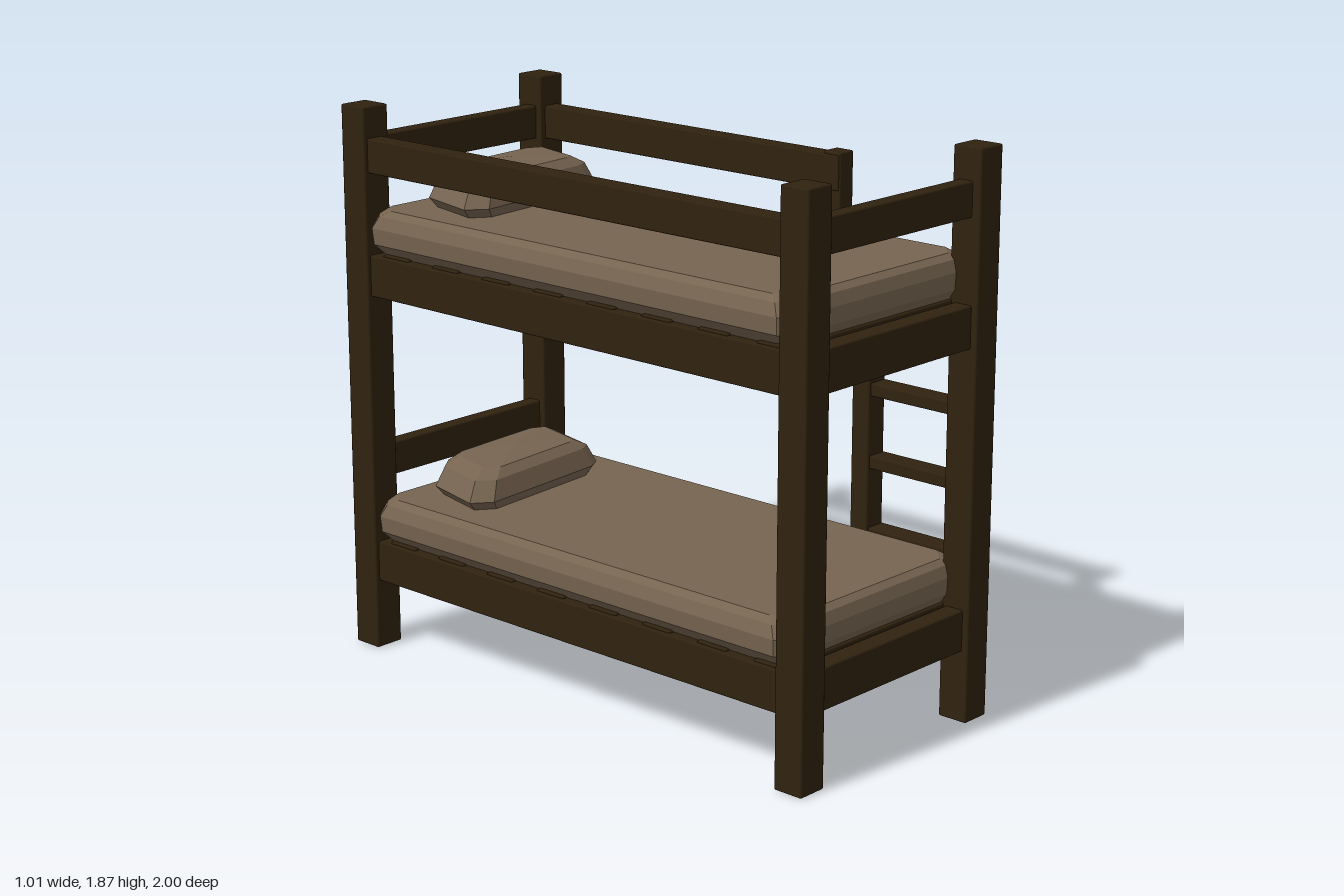
import * as THREE from 'three';
import { RoundedBoxGeometry } from 'three/addons/geometries/RoundedBoxGeometry.js';

// Closed faceted solid from stacked rings of [x, z] points; ring order runs +x towards +z
function loft(rings) {
  const pos = [];
  const tri = (...pts) => pts.forEach((p) => pos.push(...p));
  const n = rings[0].pts.length;
  const at = (r, i) => [r.pts[i % n][0], r.y, r.pts[i % n][1]];
  const middle = (r) => [
    r.pts.reduce((s, p) => s + p[0], 0) / n, r.y + (r.peak || 0),
    r.pts.reduce((s, p) => s + p[1], 0) / n];
  for (let k = 0; k < rings.length - 1; k++) {
    const lo = rings[k], up = rings[k + 1];
    for (let i = 0; i < n; i++) {
      tri(at(lo, i), at(up, i), at(lo, i + 1));
      tri(at(lo, i + 1), at(up, i), at(up, i + 1));
    }
  }
  const first = rings[0], last = rings[rings.length - 1];
  for (let i = 0; i < n; i++) {
    tri(middle(first), at(first, i), at(first, i + 1));
    tri(middle(last), at(last, i + 1), at(last, i));
  }
  const g = new THREE.BufferGeometry();
  g.setAttribute('position', new THREE.Float32BufferAttribute(pos, 3));
  g.computeVertexNormals();
  return g;
}

// Rectangle with cut corners, centred on the bed
function cutRect(cx, hx, hz, c) {
  return [[hx, -hz + c], [hx, hz - c], [hx - c, hz], [-hx + c, hz],
    [-hx, hz - c], [-hx, -hz + c], [-hx + c, -hz], [hx - c, -hz]].map(([x, z]) => [x + cx, z]);
}

export function createModel() {
  const model = new THREE.Group();
  model.name = 'bunkBed';
  const wood = new THREE.MeshStandardMaterial({ color: 0x30220f });
  wood.name = 'darkWood';
  const fabric = new THREE.MeshStandardMaterial({ color: 0x766450 });
  fabric.name = 'beddingFabric';
  const CX = -0.045; // middle of the bed, the ladder sits outside it

  const add = (name, geometry, material) => {
    const m = new THREE.Mesh(geometry, material);
    m.name = name;
    model.add(m);
    return m;
  };
  // Timber with slightly eased edges, given by its extents
  const beam = (name, x0, x1, y0, y1, z0, z1) => {
    const g = new RoundedBoxGeometry(x1 - x0, y1 - y0, z1 - z0, 1, 0.006);
    add(name, g, wood).position.set((x0 + x1) / 2, (y0 + y1) / 2, (z0 + z1) / 2);
  };
  const endRail = (name, y0, y1, side, half = 0.027) =>
    beam(name, -0.41, 0.32, y0, y1, side * 0.942 - half, side * 0.942 + half);

  // Corner posts
  for (const x of [-0.505, 0.308])
    for (const z of [-1, 0.892]) beam('cornerPost', x, x + 0.107, 0, 1.87, z, z + 0.108);

  // Two bunks: frame, slats, mattress and pillow
  const pillowOutline = [[-0.39, -0.545], [-0.335, -0.77], [-0.27, -0.82], [0.23, -0.855],
    [0.3, -0.82], [0.24, -0.57], [0.19, -0.54], [-0.325, -0.495]];
  const pillowRing = (y, s, peak) => ({
    y, peak, pts: pillowOutline.map(([x, z]) => [CX + (x - CX) * s, -0.675 + (z + 0.675) * s]) });

  for (const [level, base] of [['lower', 0.24], ['upper', 1.235]]) {
    for (const x of [-0.49, 0.33])
      beam(level + 'SideRail', x, x + 0.07, base, base + 0.14, -0.9, 0.9);
    for (const side of [-1, 1]) endRail(level + 'EndRail', base, base + 0.14, side, 0.035);

    for (let i = 0; i < 8; i++) {
      const z = 0.84 - i * 0.2325;
      beam(level + 'Slat', -0.475, 0.385, base + 0.125, base + 0.147, z - 0.06, z + 0.06);
    }

    add(level + 'Mattress', loft([
      { y: base + 0.14, pts: cutRect(CX, 0.41, 0.885, 0.04) },
      { y: base + 0.18, pts: cutRect(CX, 0.445, 0.912, 0.04) },
      { y: base + 0.235, pts: cutRect(CX, 0.45, 0.915, 0.04) },
      { y: base + 0.275, pts: cutRect(CX, 0.435, 0.905, 0.05) },
      { y: base + 0.293, pts: cutRect(CX, 0.41, 0.885, 0.06), peak: 0.006 },
    ]), fabric);

    const py = base + 0.293;
    add(level + 'Pillow', loft([
      pillowRing(py, 0.9), pillowRing(py + 0.035, 1), pillowRing(py + 0.1, 0.88),
      pillowRing(py + 0.128, 0.7, 0.016),
    ]), fabric);
  }

  // Guard rails of the upper bunk and headboard of the lower one
  for (const side of [-1, 1]) endRail('upperGuardEnd', 1.65, 1.765, side);
  endRail('lowerHeadboard', 0.59, 0.705, -1);
  beam('guardRailFull', -0.49, -0.42, 1.65, 1.765, -0.9, 0.9);
  beam('guardRailShort', 0.33, 0.395, 1.65, 1.765, -0.9, 0.42);
  beam('guardRailUpright', 0.335, 0.402, 1.365, 1.775, 0.355, 0.425);

  // Ladder
  for (const z of [0.425, 0.83]) beam('ladderPost', 0.415, 0.498, 0, 1.435, z, z + 0.07);
  for (let i = 0; i < 5; i++) {
    const y = 0.25 + i * 0.2465;
    beam('ladderRung', 0.425, 0.503, y - 0.022, y + 0.022, 0.44, 0.87);
  }
  return model;
}
